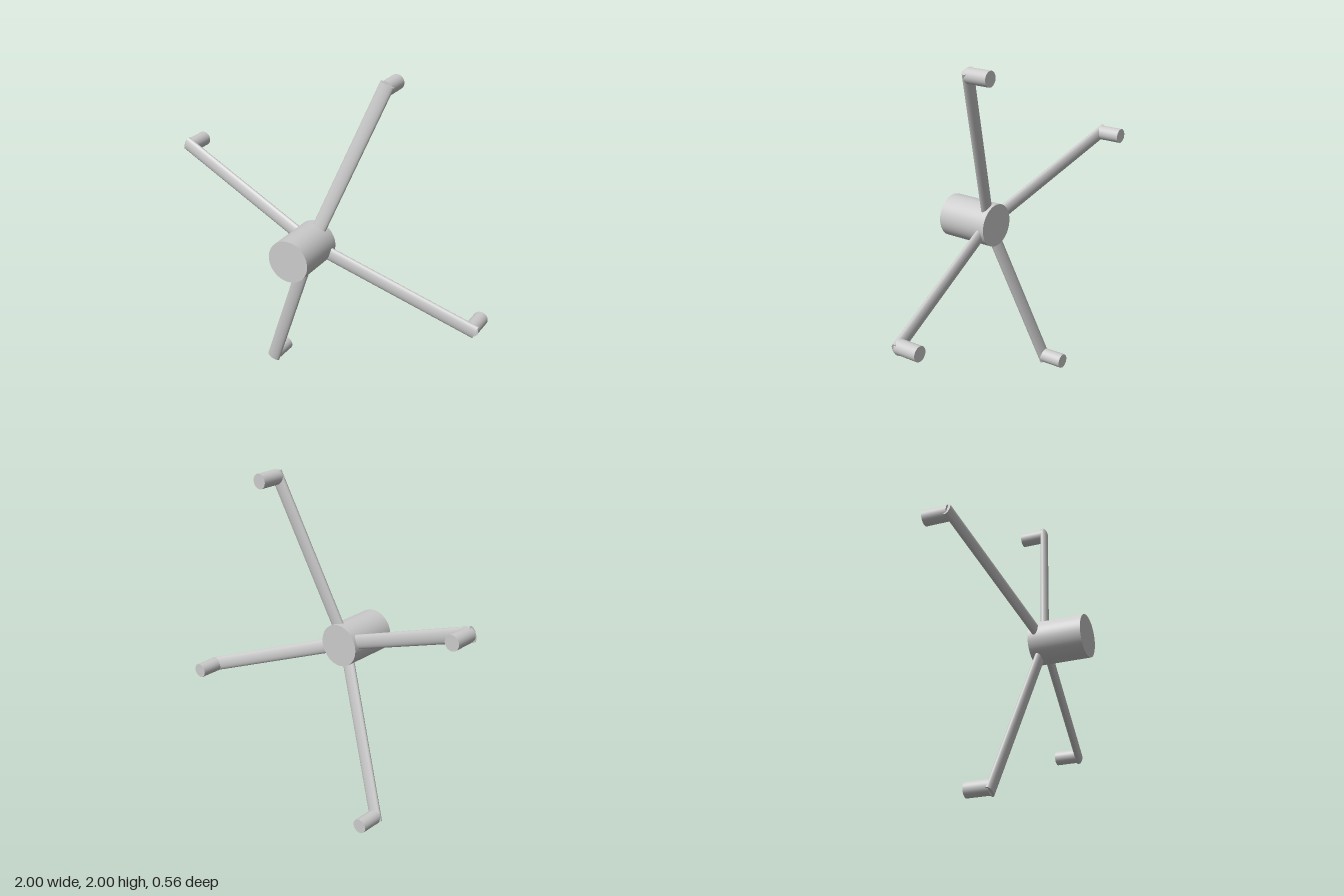
import * as THREE from 'three';

const CENTER_Y = 1.003;
const ARM_ANGLE = THREE.MathUtils.degToRad(69); // first arm, measured from +x

export function createModel() {
  const model = new THREE.Group();
  model.name = 'fourArmSpider';
  const spider = new THREE.Group();
  spider.name = 'spider';
  spider.position.y = CENTER_Y;
  model.add(spider);

  const material = new THREE.MeshStandardMaterial({ color: 0xcccccc });

  // Capped cylinder along z between two depths
  const rod = (name, radius, z0, z1, segments) => {
    const geometry = new THREE.CylinderGeometry(radius, radius, z1 - z0, segments);
    geometry.rotateX(Math.PI / 2).translate(0, 0, (z0 + z1) / 2);
    const mesh = new THREE.Mesh(geometry, material);
    mesh.name = name;
    return mesh;
  };

  // Central hub
  spider.add(rod('hub', 0.126, -0.04, 0.28, 48));

  // Arm: flattened oval bar along +x, sloping backwards from the hub
  const start = new THREE.Vector3(0.03, 0, 0.013);
  const end = new THREE.Vector3(1.052, 0, -0.139);
  const span = end.clone().sub(start);
  const armGeometry = new THREE.CylinderGeometry(1, 1, span.length(), 32);
  armGeometry.rotateZ(-Math.PI / 2).scale(1, 0.043, 0.021);
  armGeometry.rotateY(Math.atan2(-span.z, span.x));
  armGeometry.translate((start.x + end.x) / 2, 0, (start.z + end.z) / 2);

  for (let i = 0; i < 4; i++) {
    const assembly = new THREE.Group();
    assembly.name = `armAssembly${i + 1}`;
    assembly.rotation.z = ARM_ANGLE + (i * Math.PI) / 2;

    const arm = new THREE.Mesh(armGeometry, material);
    arm.name = 'arm';

    // Pin at the arm tip, pointing straight back
    const pin = rod('mountingPin', 0.0435, -0.28, -0.136, 32);
    pin.position.x = 1.022;

    assembly.add(arm, pin);
    spider.add(assembly);
  }
  return model;
}
